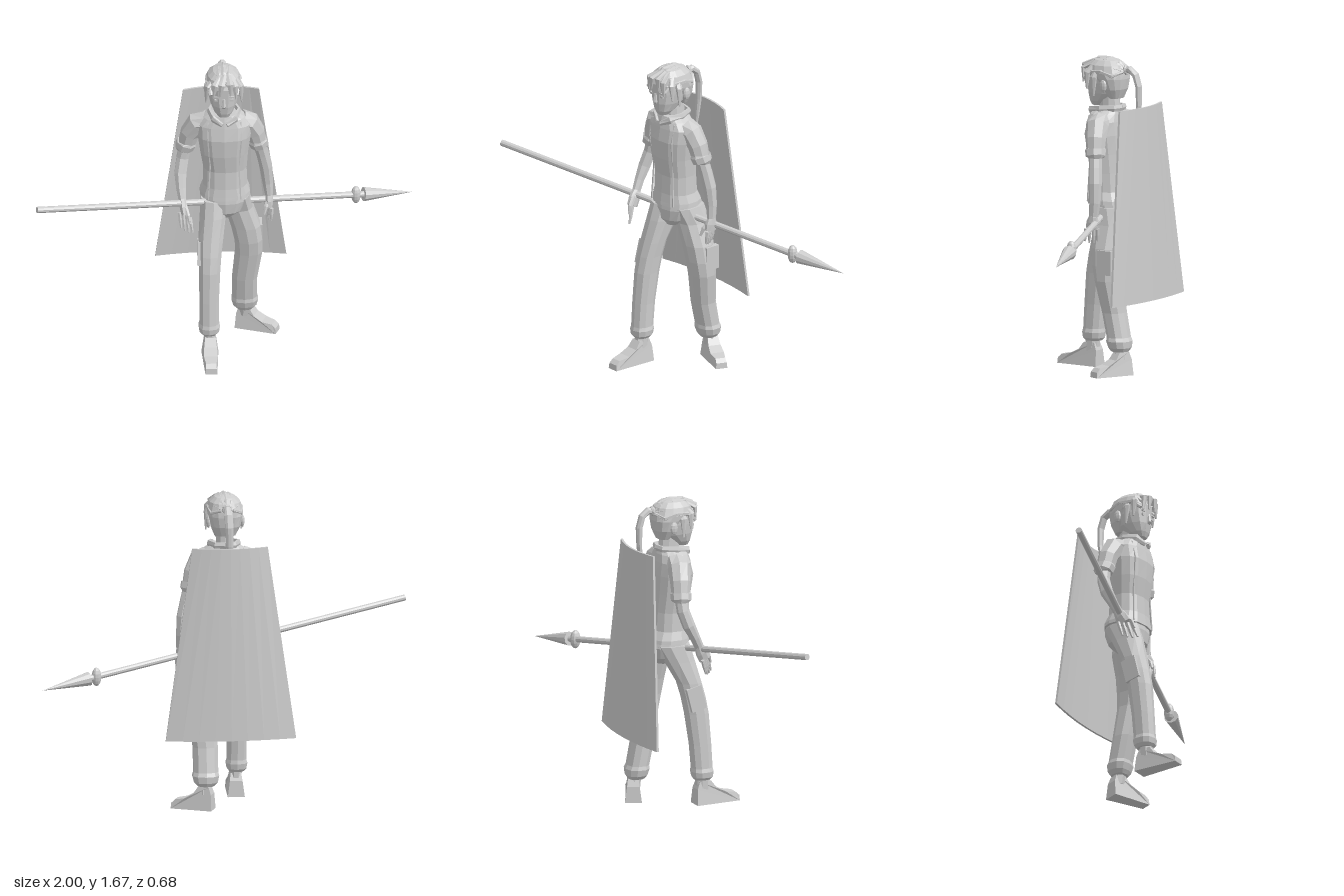
import * as THREE from 'three';

const grey = new THREE.MeshStandardMaterial({ color: 0xcccccc });
grey.name = 'plain grey';

const flat = (g) => {
  const f = g.index ? g.toNonIndexed() : g;
  f.computeVertexNormals();
  return f;
};

// Closed loft through rings [x, y, z, halfWidth, halfDepth]; level keeps rings horizontal
function loft(rings, { sides = 8, level = false, ref = [1, 0, 0], power = 1 } = {}) {
  const c = rings.map((r) => new THREE.Vector3(r[0], r[1], r[2]));
  const pos = [], idx = [], n = rings.length;
  rings.forEach((r, i) => {
    const T = c[Math.min(i + 1, n - 1)].clone().sub(c[Math.max(i - 1, 0)]);
    if (level) T.set(0, Math.sign(T.y), 0);
    T.normalize();
    const U = new THREE.Vector3(...ref);
    U.addScaledVector(T, -U.dot(T)).normalize();
    const V = T.clone().cross(U);
    for (let j = 0; j < sides; j++) {
      const a = ((j + 0.5) / sides) * Math.PI * 2;
      const k = (v) => Math.sign(v) * Math.abs(v) ** power;
      const p = c[i].clone().addScaledVector(U, k(Math.cos(a)) * r[3])
        .addScaledVector(V, k(Math.sin(a)) * (r[4] ?? r[3]));
      pos.push(p.x, p.y, p.z);
    }
  });
  for (let i = 0; i < n - 1; i++) for (let j = 0; j < sides; j++) {
    const a = i * sides + j, b = i * sides + (j + 1) % sides;
    idx.push(a, b, b + sides, a, b + sides, a + sides);
  }
  const s = n * sides, last = s - sides;
  pos.push(...c[0].toArray(), ...c[n - 1].toArray());
  for (let j = 0; j < sides; j++) {
    const k = (j + 1) % sides;
    idx.push(s, k, j, s + 1, last + j, last + k);
  }
  const g = new THREE.BufferGeometry();
  g.setAttribute('position', new THREE.Float32BufferAttribute(pos, 3));
  g.setIndex(idx);
  return g;
}

export function createModel() {
  const model = new THREE.Group();
  model.name = 'spearFighter';
  const add = (name, geo, parent = model) => {
    const m = new THREE.Mesh(flat(geo), grey);
    m.name = name;
    parent.add(m);
    return m;
  };
  const body = { level: true, sides: 14, power: 0.85 };

  // Shirt, collar and hips
  add('shirt', loft([
    [0.005, 0.895, -0.035, 0.135, 0.115], [0.005, 0.915, -0.035, 0.133, 0.112],
    [0.005, 0.96, -0.027, 0.118, 0.098], [0.005, 1.06, -0.025, 0.116, 0.092],
    [0, 1.16, -0.015, 0.128, 0.098], [0, 1.26, -0.01, 0.142, 0.1],
    [0, 1.33, -0.012, 0.145, 0.09], [0, 1.37, -0.012, 0.11, 0.082], [0, 1.395, -0.012, 0.07, 0.075]], body));
  for (const s of [1, -1]) {
    add('collarFlap', loft([[0.012 * s, 1.36, 0.085, 0.012, 0.01], [0.06 * s, 1.385, 0.06, 0.022, 0.012],
      [0.078 * s, 1.395, -0.01, 0.022, 0.012], [0.05 * s, 1.4, -0.08, 0.018, 0.012],
      [0, 1.4, -0.092, 0.018, 0.012]], { ref: [0, 1, 0], sides: 6 }));
    add('chestSeam', loft([[0.085 * s, 1.36, 0.05, 0.005], [0.088 * s, 1.26, 0.074, 0.005],
      [0.075 * s, 1.1, 0.054, 0.005], [0.085 * s, 0.9, 0.062, 0.005]], { sides: 4 }));
  }
  add('hips', loft([[0.005, 0.93, -0.035, 0.115, 0.1], [0.005, 0.87, -0.04, 0.12, 0.112],
    [0.005, 0.81, -0.035, 0.095, 0.1], [0.005, 0.77, -0.03, 0.04, 0.06]], body));

  // Trousers with gathered cuffs
  add('rightTrouserLeg', loft([
    [-0.055, 0.88, -0.03, 0.07, 0.1], [-0.06, 0.79, 0.01, 0.07, 0.085], [-0.072, 0.67, 0.06, 0.067, 0.066],
    [-0.077, 0.59, 0.082, 0.062, 0.066], [-0.08, 0.5, 0.1, 0.058, 0.066], [-0.083, 0.33, 0.12, 0.053, 0.06],
    [-0.083, 0.2, 0.13, 0.052, 0.058], [-0.083, 0.18, 0.131, 0.058, 0.062], [-0.083, 0.15, 0.132, 0.053, 0.057],
    [-0.083, 0.135, 0.132, 0.04, 0.045]], { ...body, sides: 10 }));
  add('leftTrouserLeg', loft([
    [0.065, 0.88, -0.05, 0.07, 0.1], [0.078, 0.79, -0.08, 0.077, 0.088], [0.115, 0.67, -0.085, 0.08, 0.08],
    [0.13, 0.58, -0.092, 0.076, 0.076], [0.132, 0.5, -0.1, 0.074, 0.068], [0.112, 0.33, -0.125, 0.068, 0.06],
    [0.112, 0.2, -0.152, 0.067, 0.058], [0.113, 0.18, -0.156, 0.073, 0.064], [0.113, 0.145, -0.16, 0.064, 0.057],
    [0.113, 0.125, -0.16, 0.045, 0.045]], { ...body, sides: 10 }));
  const pocket = new THREE.BoxGeometry(0.03, 0.13, 0.085);
  add('leftPocket', pocket).position.set(0.188, 0.6, -0.115);
  const rp = add('rightPocket', pocket);
  rp.position.set(-0.128, 0.59, 0.075);
  rp.rotation.x = -0.25;

  // Shoes: side outline with toe at +z, narrowing upwards and at the toe
  const outline = [[-0.115, 0], [-0.11, 0.085], [-0.095, 0.125], [-0.03, 0.125], [0, 0.085],
    [0.05, 0.06], [0.11, 0.05], [0.132, 0.03], [0.135, 0]];
  const shoeGeo = new THREE.ExtrudeGeometry(new THREE.Shape(outline.map((p) => new THREE.Vector2(...p))),
    { depth: 0.09, bevelEnabled: false });
  shoeGeo.translate(0, 0, -0.045).rotateY(-Math.PI / 2);
  const sp = shoeGeo.attributes.position;
  for (let i = 0; i < sp.count; i++) {
    const toe = sp.getZ(i) > 0.1 ? 0.7 : 1;
    sp.setX(i, sp.getX(i) * toe * (1 - 3 * sp.getY(i)));
  }
  for (const [side, x, z, turn, len] of [['right', -0.078, 0.205, 0, 1], ['left', 0.172, -0.152, 1.18, 0.9]]) {
    const shoe = add(side + 'Shoe', shoeGeo);
    shoe.position.set(x, 0, z);
    shoe.rotation.y = turn;
    shoe.scale.z = len;
  }
  add('rightAnkle', loft([[-0.08, 0.17, 0.135, 0.034, 0.038], [-0.078, 0.08, 0.14, 0.034, 0.042]]));
  add('leftAnkle', loft([[0.12, 0.17, -0.16, 0.034], [0.118, 0.08, -0.172, 0.036]]));

  // Arms: sleeve, rolled cuff, forearm, hand and fingers
  const arms = {
    right: {
      sleeve: [[-0.09, 1.335, -0.02, 0.05, 0.06], [-0.14, 1.315, -0.028, 0.06, 0.06],
        [-0.18, 1.25, -0.038, 0.052, 0.055], [-0.2, 1.17, -0.045, 0.045, 0.048]],
      cuff: [-0.197, 1.2, -0.043, -0.21, 1.15, -0.048],
      arm: [[-0.2, 1.18, -0.045, 0.035], [-0.218, 1.1, -0.04, 0.034], [-0.23, 1.02, -0.012, 0.034],
        [-0.228, 0.95, 0.025, 0.027], [-0.222, 0.9, 0.05, 0.022, 0.025]],
      wrist: [-0.222, 0.9, 0.05], palm: [-0.21, 0.825, 0.09], tip: [-0.2, 0.735, 0.115], spread: [0.018, 0, 0.017],
    },
    left: {
      sleeve: [[0.09, 1.335, -0.02, 0.05, 0.06], [0.13, 1.315, -0.03, 0.06, 0.06],
        [0.165, 1.25, -0.042, 0.052, 0.055], [0.183, 1.17, -0.052, 0.045, 0.048]],
      cuff: [0.178, 1.205, -0.048, 0.188, 1.155, -0.056],
      arm: [[0.185, 1.18, -0.052, 0.035], [0.205, 1.1, -0.065, 0.035], [0.222, 1.02, -0.075, 0.036],
        [0.232, 0.92, -0.08, 0.03], [0.238, 0.85, -0.075, 0.022, 0.026]],
      wrist: [0.238, 0.85, -0.075], palm: [0.24, 0.785, -0.065], tip: [0.235, 0.705, -0.06], spread: [0.008, 0, 0.019],
    },
  };
  for (const [side, a] of Object.entries(arms)) {
    const g = new THREE.Group();
    g.name = side + 'Arm';
    model.add(g);
    add('sleeve', loft(a.sleeve), g);
    const [x, y, z, u, v, w] = a.cuff;
    add('rolledCuff', loft([[x, y, z, 0.046, 0.05], [x, y - 0.01, z, 0.054, 0.057],
      [u, v + 0.008, w, 0.051, 0.054], [u, v, w, 0.04, 0.044]]), g);
    add('forearm', loft(a.arm), g);
    add('hand', loft([[...a.wrist, 0.02, 0.025], [...a.wrist.map((p, i) => (p + a.palm[i]) / 2), 0.022, 0.036],
      [...a.palm, 0.018, 0.036]]), g);
    for (let f = -1.5; f <= 1.5; f++) {
      const at = (p, k) => p.map((q, i) => q + a.spread[i] * f * k);
      const root = at(a.palm, 1), end = at(a.tip, 1.1);
      end[1] += Math.abs(f) * 0.008;
      add('finger', loft([[...root, 0.011], [...root.map((q, i) => (q + end[i]) / 2), 0.01], [...end, 0.005]], { sides: 6 }), g);
    }
    const [px, py, pz] = a.palm;
    add('thumb', loft([[px, py + 0.05, pz - 0.01, 0.014], [px * 0.92, py + 0.01, pz + 0.03, 0.012],
      [px * 0.88, py - 0.03, pz + 0.045, 0.006]], { sides: 6 }), g);
  }

  // Neck, head and face
  const head = new THREE.Group();
  head.name = 'head';
  model.add(head);
  add('neck', loft([[0, 1.36, -0.025, 0.046, 0.062], [-0.003, 1.47, -0.02, 0.042, 0.055]], { sides: 10 }), head);
  add('skull', loft([[-0.004, 1.405, 0.055, 0.03, 0.028], [-0.004, 1.43, 0.042, 0.05, 0.052],
    [-0.005, 1.475, 0.016, 0.07, 0.088], [-0.006, 1.53, 0.002, 0.082, 0.104], [-0.006, 1.58, 0, 0.086, 0.108],
    [-0.006, 1.63, 0, 0.065, 0.085]], { ...body, sides: 12 }), head);
  add('nose', loft([[-0.005, 1.53, 0.102, 0.008, 0.008], [-0.005, 1.485, 0.108, 0.013, 0.012],
    [-0.005, 1.475, 0.1, 0.01, 0.008]], { sides: 6 }), head);
  add('mouth', new THREE.BoxGeometry(0.04, 0.006, 0.009), head).position.set(-0.005, 1.448, 0.091);
  for (const s of [1, -1]) {
    add('eye', new THREE.BoxGeometry(0.03, 0.011, 0.009), head).position.set(-0.005 + 0.035 * s, 1.518, 0.094);
    add('brow', new THREE.BoxGeometry(0.04, 0.008, 0.009), head).position.set(-0.005 + 0.036 * s, 1.538, 0.098);
    const ear = add('ear', new THREE.SphereGeometry(1, 8, 6), head);
    ear.position.set(-0.005 + 0.09 * s, 1.52, -0.035);
    ear.scale.set(0.012, 0.034, 0.022);
  }

  // Hair: cap, swept ridges, fringe, side locks and ponytail
  add('hairCap', loft([[-0.005, 1.45, -0.062, 0.05, 0.03], [-0.005, 1.5, -0.052, 0.078, 0.062],
    [-0.005, 1.555, -0.035, 0.092, 0.088], [-0.005, 1.585, -0.01, 0.095, 0.112], [-0.005, 1.625, -0.005, 0.082, 0.1],
    [-0.005, 1.65, -0.003, 0.055, 0.07], [-0.005, 1.662, -0.003, 0.02, 0.03]], { ...body, sides: 14 }), head);
  for (let i = -3; i <= 3; i++) {
    const x = i * 0.025, h = 1.657 - 0.007 * i * i;
    add('hairRidge', loft([[x * 0.9 - 0.005, h - 0.045, 0.098, 0.011, 0.008], [x - 0.005, h - 0.004, 0.05, 0.016, 0.013],
      [x * 1.1 - 0.005, h, -0.02, 0.016, 0.012], [x - 0.005, h - 0.02, -0.08, 0.014, 0.012],
      [x * 0.4 - 0.005, 1.595, -0.12, 0.008, 0.008]], { sides: 6 }), head);
  }
  for (const [x, y, tx, ty, tz] of [[0.03, 1.64, 0.06, 1.53, 0.105], [0.02, 1.645, 0.03, 1.555, 0.116],
    [0, 1.645, -0.025, 1.55, 0.118], [-0.02, 1.64, -0.06, 1.54, 0.105], [0.05, 1.63, 0.088, 1.5, 0.065],
    [-0.05, 1.63, -0.095, 1.5, 0.065], [0.06, 1.62, 0.092, 1.465, 0.02], [-0.06, 1.62, -0.097, 1.465, 0.02]]) {
    add('hairLock', loft([[x, y, tz * 0.5, 0.016, 0.012], [(x + tx * 2) / 3 * 1.1, (y + ty) / 2 + 0.02, tz + 0.002, 0.02, 0.014],
      [tx, ty, tz, 0.005, 0.004]], { sides: 6, ref: Math.abs(tx) > 0.08 ? [0, 0, 1] : [1, 0, 0] }), head);
  }
  add('hairTie', new THREE.TorusGeometry(0.018, 0.009, 6, 10), head).position.set(-0.005, 1.603, -0.122);
  add('ponytail', loft([[-0.005, 1.6, -0.105, 0.016], [-0.005, 1.607, -0.145, 0.02], [-0.006, 1.58, -0.18, 0.023, 0.018],
    [-0.008, 1.52, -0.198, 0.023, 0.017], [-0.01, 1.42, -0.198, 0.02, 0.014], [-0.01, 1.33, -0.188, 0.014, 0.011],
    [-0.01, 1.24, -0.178, 0.003, 0.003]]), head);

  // Tapered shield on the back, curved away from the body
  const shield = new THREE.BoxGeometry(2, 1, 1, 8, 1, 1);
  const p = shield.attributes.position, mix = THREE.MathUtils.lerp;
  for (let i = 0; i < p.count; i++) {
    const u = p.getX(i), v = p.getY(i) + 0.5;
    p.setXYZ(i, -0.01 + u * mix(0.345, 0.2, v), mix(0.39, 1.415, v),
      mix(-0.286, -0.242, v) + 0.036 * u * u + p.getZ(i) * 0.012);
  }
  add('shield', shield);

  // Spear held across the body
  const tail = new THREE.Vector3(-0.995, 1.0, 0.32), tip = new THREE.Vector3(1, 0.7, -0.338);
  const dir = tip.clone().sub(tail), len = dir.length();
  const spear = new THREE.Group();
  spear.name = 'spear';
  spear.position.copy(tail);
  spear.quaternion.setFromUnitVectors(new THREE.Vector3(0, 1, 0), dir.normalize());
  model.add(spear);
  add('shaft', new THREE.CylinderGeometry(0.017, 0.017, len * 0.88, 10), spear).position.y = len * 0.44;
  add('spearhead', new THREE.ConeGeometry(0.038, len * 0.13, 10), spear).position.y = len * 0.935;
  const knob = add('knob', new THREE.SphereGeometry(1, 10, 8));
  knob.position.copy(tail).addScaledVector(dir, len * 0.85);
  knob.scale.set(0.026, 0.05, 0.028);

  return model;
}
